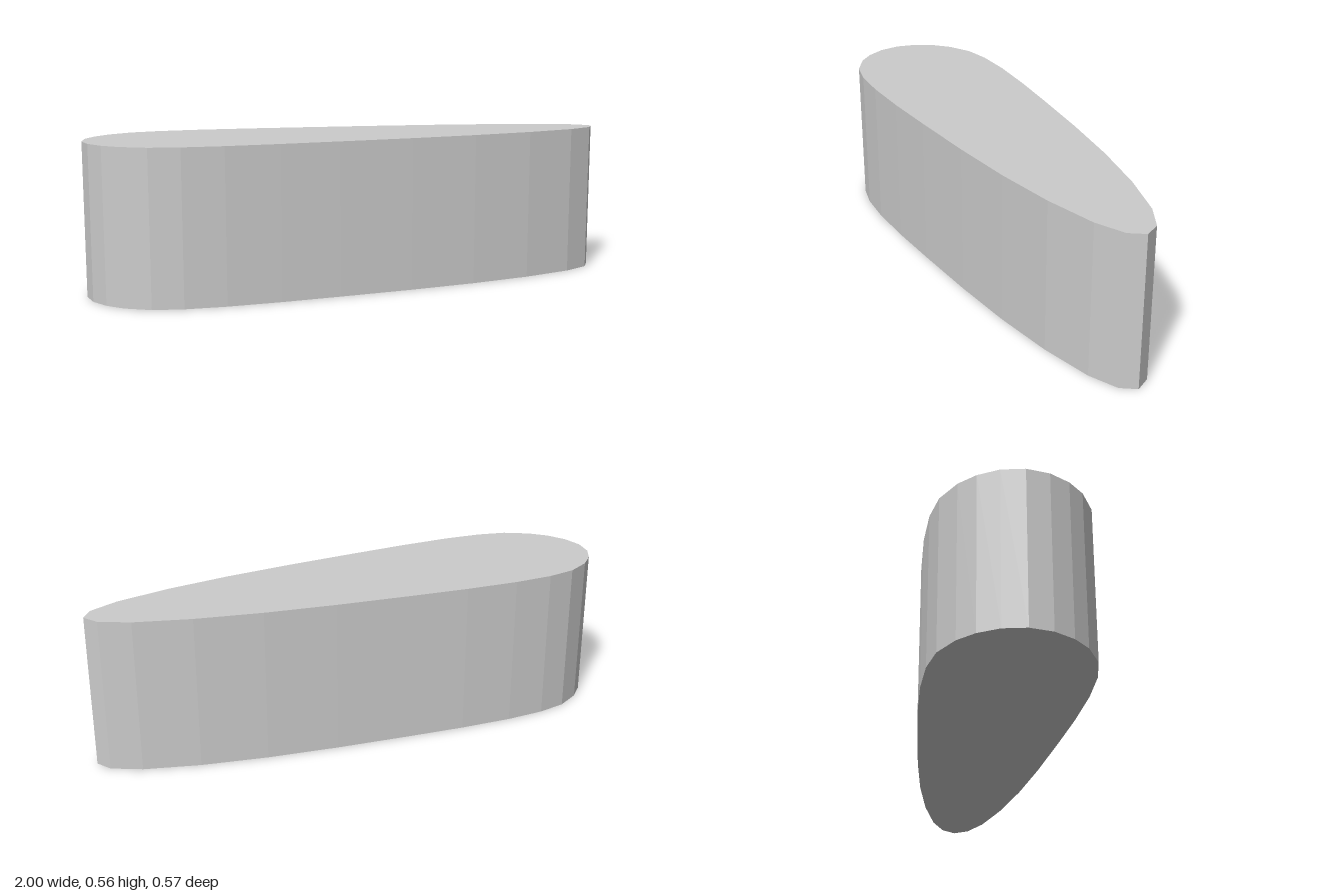
import * as THREE from 'three';

// Half outline from the pointed tail (+x) round to the blunt nose (-x): [x, half width]
const HALF = [
  [1, 0], [0.965, 0.055], [0.86, 0.107], [0.66, 0.16], [0.42, 0.202],
  [0.16, 0.233], [-0.12, 0.258], [-0.34, 0.275], [-0.54, 0.283],
  [-0.69, 0.277], [-0.8, 0.255], [-0.89, 0.205], [-0.945, 0.15],
  [-0.985, 0.08], [-1, 0],
];
const HEIGHT = 0.565;

export function createModel() {
  const group = new THREE.Group();
  group.name = 'teardropBlock';

  // Mirror the half outline into a closed teardrop
  const mirrored = HALF.slice(1, -1).reverse().map(([x, w]) => [x, -w]);
  const outline = [...HALF, ...mirrored].map(([x, w]) => new THREE.Vector2(x, w));

  // Extrude the teardrop straight up
  const geometry = new THREE.ExtrudeGeometry(new THREE.Shape(outline), {
    depth: HEIGHT, bevelEnabled: false,
  });
  geometry.rotateX(-Math.PI / 2);

  const body = new THREE.Mesh(
    geometry,
    new THREE.MeshStandardMaterial({ color: 0xcccccc, flatShading: true }),
  );
  body.name = 'teardropBody';
  group.add(body);
  return group;
}
